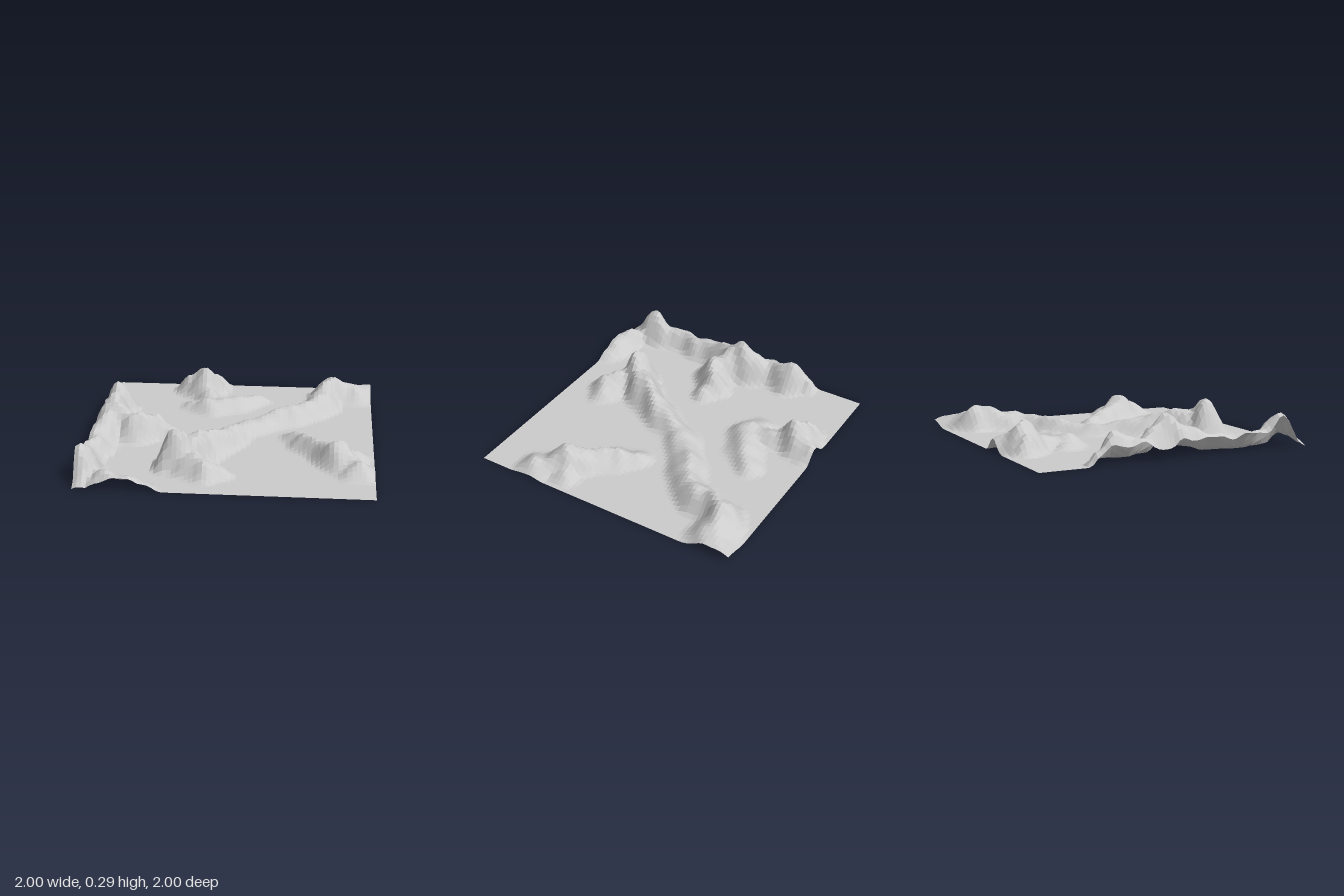
import * as THREE from 'three';

// Ridges and hills: each is a chain of [x, z, height, radius] crest points.
const ridges = {
  mainRidge: [
    [1.0, -0.88, 0.07, 0.23], [0.84, -0.8, 0.11, 0.21], [0.67, -0.77, 0.18, 0.18], [0.62, -0.57, 0.13, 0.16],
    [0.53, -0.41, 0.11, 0.16], [0.37, -0.31, 0.105, 0.16], [0.17, -0.16, 0.07, 0.15], [0.05, -0.04, 0.08, 0.15],
    [-0.02, 0.12, 0.115, 0.14], [-0.12, 0.28, 0.15, 0.16], [-0.24, 0.46, 0.205, 0.17], [-0.32, 0.54, 0.17, 0.14],
  ],
  mainPeak: [[-0.38, 0.58, 0.28, 0.165], [-0.35, 0.59, 0.28, 0.165]],
  ridgeFoot: [[-0.25, 0.66, 0.14, 0.18], [-0.16, 0.71, 0.125, 0.17], [-0.07, 0.71, 0.07, 0.13]],
  leftRange: [
    [-0.95, -0.56, 0.1, 0.1], [-0.93, -0.45, 0.205, 0.16], [-0.94, -0.25, 0.15, 0.16], [-0.87, -0.04, 0.265, 0.18],
    [-0.93, 0.13, 0.18, 0.19], [-0.96, 0.32, 0.13, 0.15], [-0.97, 0.5, 0.13, 0.13], [-0.98, 0.65, 0.13, 0.14],
    [-0.95, 0.81, 0.24, 0.17], [-0.95, 0.92, 0.08, 0.1],
  ],
  leftSpur: [[-0.86, 0.0, 0.2, 0.19], [-0.73, 0.11, 0.19, 0.18], [-0.58, 0.04, 0.15, 0.15], [-0.48, 0.06, 0.08, 0.12]],
  frontCornerHump: [[-0.82, 0.93, 0.115, 0.14], [-0.62, 0.98, 0.09, 0.15], [-0.53, 0.99, 0.06, 0.13]],
  backHill: [[-0.22, -0.96, 0.1, 0.14], [-0.32, -0.83, 0.2, 0.21], [-0.42, -0.83, 0.14, 0.14]],
  backSpur: [[-0.3, -0.8, 0.16, 0.16], [-0.25, -0.66, 0.09, 0.13], [-0.25, -0.5, 0.07, 0.13]],
  crescent: [[-0.36, -0.51, 0.045, 0.12], [-0.24, -0.45, 0.085, 0.15], [-0.06, -0.52, 0.085, 0.16], [0.1, -0.65, 0.06, 0.13]],
  rightHills: [
    [0.45, 0.07, 0.06, 0.13], [0.53, 0.19, 0.1, 0.15], [0.63, 0.31, 0.11, 0.15], [0.76, 0.47, 0.165, 0.17],
    [0.85, 0.56, 0.08, 0.17], [0.89, 0.63, 0.09, 0.16],
  ],
  rightShoulder: [[0.78, 0.44, 0.12, 0.16], [0.87, 0.38, 0.07, 0.13]],
};

// Height of one chain at (x, z): a rounded profile across its nearest, strongest segment
function ridgeHeight(points, x, z) {
  let best = 0;
  for (let i = 0; i < points.length - 1; i++) {
    const [ax, az, ah, ar] = points[i];
    const [bx, bz, bh, br] = points[i + 1];
    const dx = bx - ax, dz = bz - az;
    const t = THREE.MathUtils.clamp(((x - ax) * dx + (z - az) * dz) / (dx * dx + dz * dz), 0, 1);
    const s = t * t * (3 - 2 * t);
    const d = Math.hypot(x - ax - dx * t, z - az - dz * t) / (ar + (br - ar) * t);
    if (d < 1) best = Math.max(best, (ah + (bh - ah) * s) * (1 - d * d) ** 2);
  }
  return best;
}

// Soft union of all chains, with slightly wandering outlines and rough slopes
function terrainHeight(x, z) {
  const wx = x + 0.012 * Math.sin(z * 23 + x * 5);
  const wz = z + 0.012 * Math.sin(x * 21 - z * 6);
  let sum = 0;
  for (const points of Object.values(ridges)) sum += ridgeHeight(points, wx, wz) ** 4;
  const rough = 1 + 0.09 * Math.sin(x * 37 + z * 9) * Math.sin(z * 33 - x * 7);
  return Math.min(0.29, sum ** 0.25 * rough);
}

// Gives the two triangles of every square cell one shared normal
function shadeByCell(geometry) {
  const normal = geometry.attributes.normal;
  const a = new THREE.Vector3(), b = new THREE.Vector3();
  for (let i = 0; i < normal.count; i += 6) {
    a.fromBufferAttribute(normal, i).add(b.fromBufferAttribute(normal, i + 3)).normalize();
    for (let j = i; j < i + 6; j++) normal.setXYZ(j, a.x, a.y, a.z);
  }
}

export function createModel() {
  const group = new THREE.Group();
  group.name = 'terrain';

  // Open square sheet raised into hills
  const sheet = new THREE.PlaneGeometry(2, 2, 64, 64).rotateX(-Math.PI / 2).toNonIndexed();
  const pos = sheet.attributes.position;
  for (let i = 0; i < pos.count; i++) pos.setY(i, terrainHeight(pos.getX(i), pos.getZ(i)));
  sheet.computeVertexNormals();
  shadeByCell(sheet);

  const ground = new THREE.Mesh(
    sheet,
    new THREE.MeshStandardMaterial({ color: 0xcccccc, side: THREE.DoubleSide })
  );
  ground.name = 'groundWithHills';
  group.add(ground);
  return group;
}
